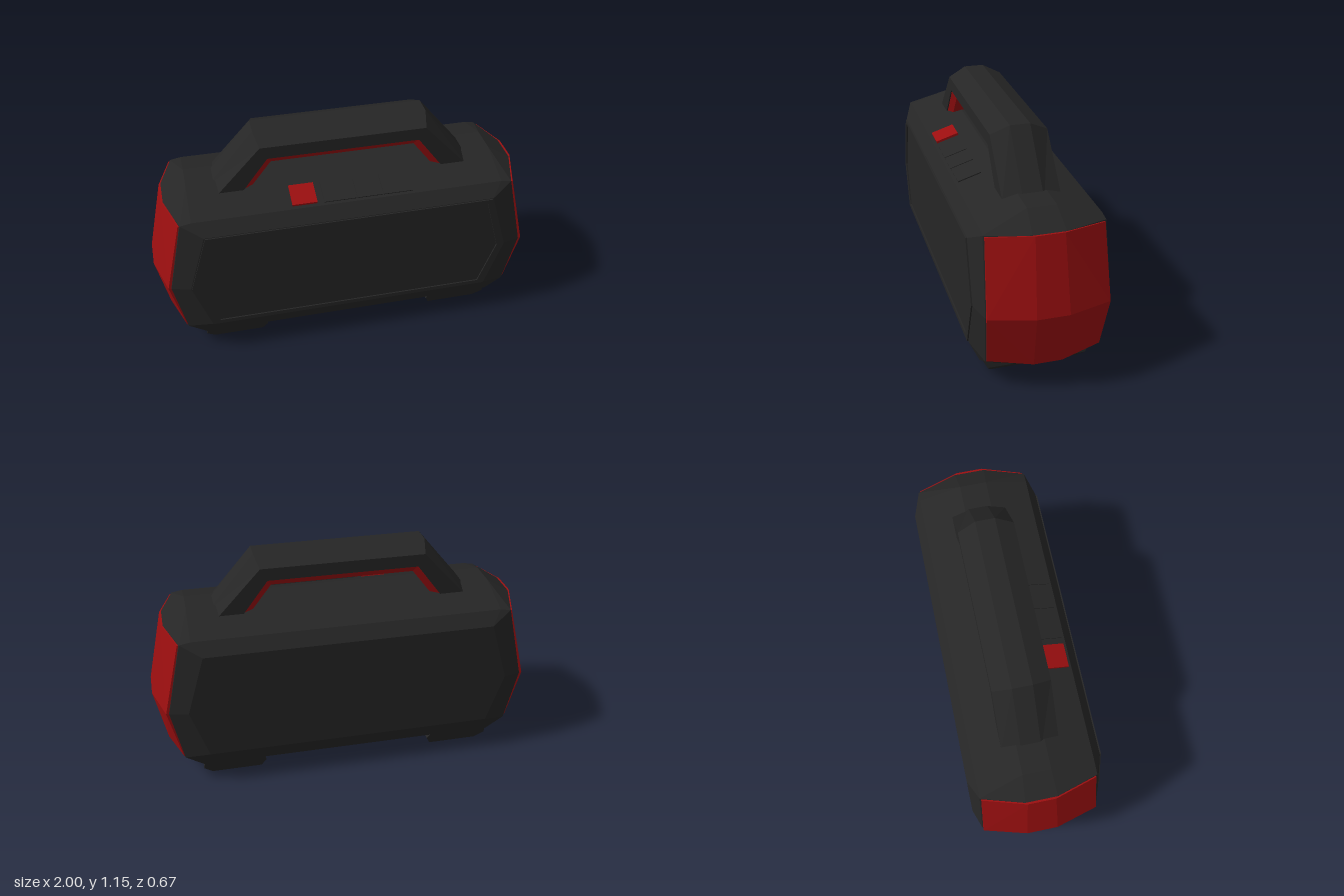
import * as THREE from 'three';
import { ConvexGeometry } from 'three/addons/geometries/ConvexGeometry.js';

const black = new THREE.MeshStandardMaterial({ color: 0x262626 });
black.name = 'charcoal';
const red = new THREE.MeshStandardMaterial({ color: 0x9c0f10 });
red.name = 'red';

function add(group, name, geometry, material) {
  const mesh = new THREE.Mesh(geometry, material);
  mesh.name = name;
  group.add(mesh);
  return mesh;
}

// Faceted solid from corner points, mirrored across z and the given x signs
function hull(points, xSigns) {
  const all = [];
  for (const [x, y, z] of points)
    for (const sx of xSigns)
      for (const sz of [1, -1]) all.push(new THREE.Vector3(x * sx, y, z * sz));
  return new ConvexGeometry(all);
}

// Faceted loft through rings of equal length, with closed ends
function loft(rings) {
  const pos = [];
  const n = rings[0].length;
  const tri = (a, b, c) => pos.push(...a, ...b, ...c);
  for (let i = 0; i < rings.length - 1; i++)
    for (let j = 0; j < n; j++) {
      const k = (j + 1) % n;
      const a = rings[i][j], b = rings[i][k], c = rings[i + 1][k], d = rings[i + 1][j];
      tri(a, b, c);
      tri(a, c, d);
    }
  const first = rings[0], last = rings[rings.length - 1];
  for (let j = 1; j < n - 1; j++) {
    tri(first[0], first[j + 1], first[j]);
    tri(last[0], last[j], last[j + 1]);
  }
  const g = new THREE.BufferGeometry();
  g.setAttribute('position', new THREE.Float32BufferAttribute(pos, 3));
  g.computeVertexNormals();
  return g;
}

// Arch over the top: section lists [foot x, foot y, top x, top y, half depth] from outside to inside
function arch(section) {
  const ring = (sign, foot) => {
    const half = section.map(([fx, fy, tx, ty, z]) => [sign * (foot ? fx : tx), foot ? fy : ty, z]);
    return [...half, ...half.slice().reverse().map(([x, y, z]) => [x, y, -z])];
  };
  return loft([ring(-1, true), ring(-1, false), ring(1, false), ring(1, true)]);
}

// Six-sided outline, symmetric in x
function outline(target, [tx, ty], [mx, my], [bx, by]) {
  target.setFromPoints([[tx, ty], [-tx, ty], [-mx, my], [-bx, by], [bx, by], [mx, my]]
    .map(([x, y]) => new THREE.Vector2(x, y)));
  return target;
}

export function createModel() {
  const model = new THREE.Group();
  model.name = 'portableSpeaker';

  // Bevelled body
  add(model, 'body', hull([
    [0.79, 0.9, 0.07], [0.79, 0.83, 0.29],
    [0.74, 0.76, 0.334], [0.83, 0.45, 0.334], [0.74, 0.19, 0.334],
    [0.77, 0.1, 0.29], [0.78, 0.045, 0.1],
    [0.91, 0.825, 0.08], [0.845, 0.82, 0.29],
    [0.985, 0.44, 0.08], [0.925, 0.44, 0.3],
    [0.925, 0.155, 0.08], [0.865, 0.155, 0.285],
  ], [1, -1]), black);

  // Raised frame around the front grille
  const frame = outline(new THREE.Shape(), [0.735, 0.757], [0.825, 0.45], [0.735, 0.193]);
  frame.holes.push(outline(new THREE.Path(), [0.71, 0.735], [0.787, 0.45], [0.7, 0.215]));
  add(model, 'grilleFrame', new THREE.ExtrudeGeometry(frame, { depth: 0.009, bevelEnabled: false }), black)
    .position.z = 0.332;

  // End caps and feet, left and right
  const capOuter = [
    [0.92, 0.825, 0.07], [0.855, 0.815, 0.283],
    [1, 0.44, 0.08], [0.94, 0.44, 0.296],
    [0.938, 0.15, 0.07], [0.872, 0.162, 0.28],
  ];
  const cap = [...capOuter, ...capOuter.map(([x, y, z]) => [x - 0.025, y, z])];
  const foot = [
    [0.47, 0, 0.225], [0.73, 0, 0.225],
    [0.445, 0.05, 0.25], [0.775, 0.045, 0.25],
    [0.46, 0.095, 0.275], [0.77, 0.095, 0.275],
  ];
  for (const [side, sign] of [['left', 1], ['right', -1]]) {
    add(model, side + 'EndCap', hull(cap, [sign]), red);
    add(model, side + 'Foot', hull(foot, [sign]), black);
  }

  // Carrying handle with a coloured inner lining
  add(model, 'handle', arch([
    [0.675, 0.87, 0.44, 1.155, 0.05],
    [0.64, 0.87, 0.42, 1.11, 0.142],
    [0.515, 0.87, 0.385, 1.045, 0.142],
  ]), black);
  add(model, 'handleLining', arch([
    [0.52, 0.87, 0.388, 1.05, 0.136],
    [0.515, 0.87, 0.383, 1.043, 0.136],
    [0.472, 0.87, 0.365, 1.01, 0.115],
  ]), red);

  // Buttons on the sloping top front
  const button = (name, x0, x1, lift, material) => {
    const b = add(model, name, new THREE.BoxGeometry(x1 - x0, 0.03, 0.122), material);
    b.position.set((x0 + x1) / 2, 0.839 + lift, 0.214);
    b.rotation.x = 0.31;
  };
  button('powerButton', -0.29, -0.165, 0.012, red);
  [[-0.13, 0.032], [0.038, 0.167], [0.173, 0.325]].forEach(([a, b], i) =>
    button('controlButton' + (i + 1), a, b, 0.005, black));

  return model;
}
